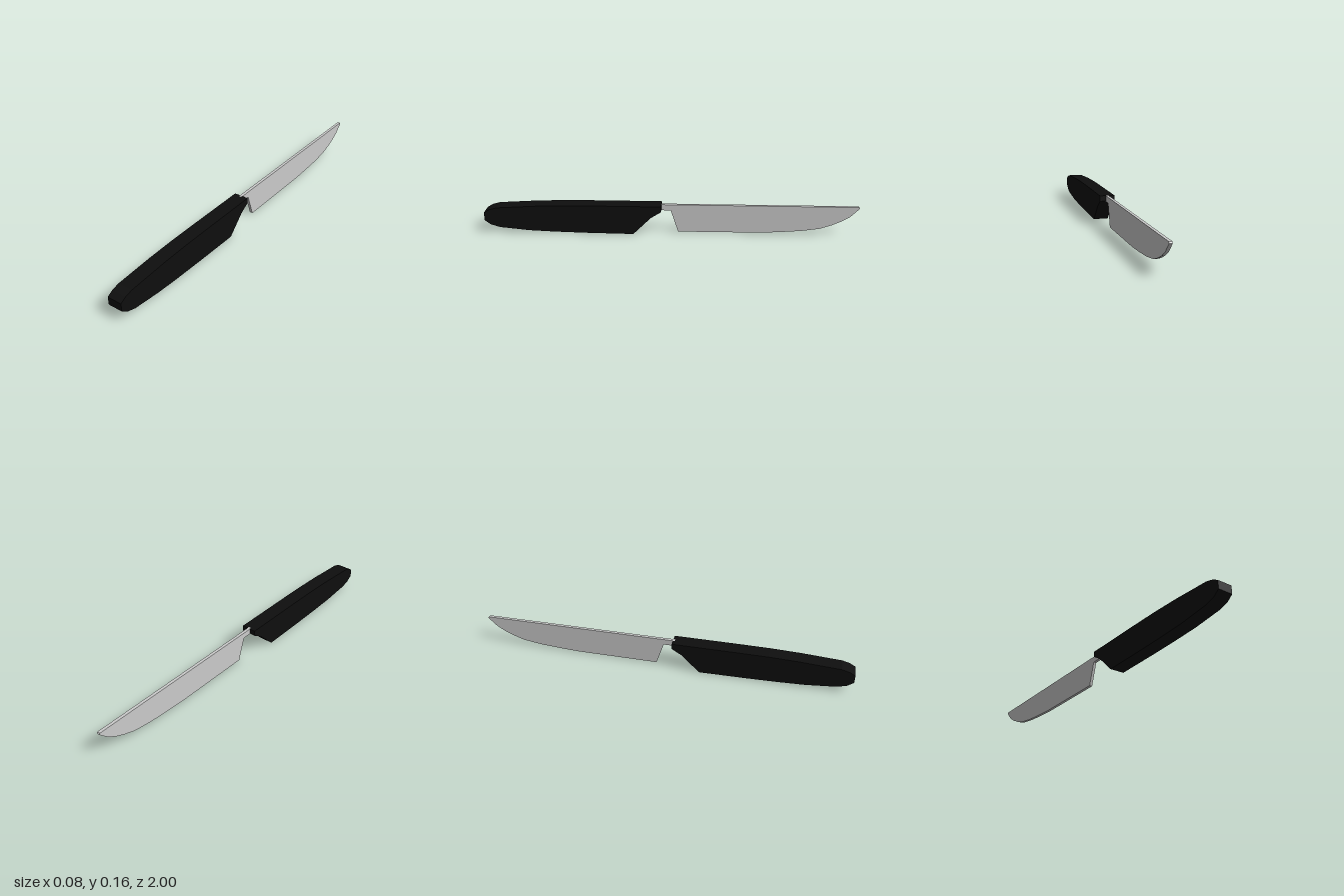
import * as THREE from 'three';

const handleMat = new THREE.MeshStandardMaterial({ name: 'black handle', color: 0x0e0e0e });
const bladeMat = new THREE.MeshStandardMaterial({ name: 'steel', color: 0xcacaca });

// Side profile given as [z, y] corners, extruded across x and centred on x = 0
function slab(name, profile, width, material) {
  const shape = new THREE.Shape(profile.map(([z, y]) => new THREE.Vector2(z, y)));
  const geometry = new THREE.ExtrudeGeometry(shape, { depth: width, bevelEnabled: false });
  geometry.translate(0, 0, -width / 2);
  geometry.rotateY(-Math.PI / 2);
  const mesh = new THREE.Mesh(geometry, material);
  mesh.name = name;
  return mesh;
}

export function createModel() {
  const group = new THREE.Group();
  group.name = 'knife';

  // Handle: slanted front, flat belly, blunt rounded butt
  group.add(slab('handle', [
    [0.05, 0.13], [0.105, 0.095], [0.2, 0], [0.45, 0.003], [0.62, 0.007], [0.76, 0.013],
    [0.92, 0.029], [0.97, 0.045], [1, 0.068],
    [1, 0.112], [0.97, 0.13], [0.93, 0.141], [0.72, 0.154], [0.56, 0.159], [0.4, 0.16], [0.05, 0.16],
  ], 0.08, handleMat));

  // Blade with its short neck: straight spine, curved edge, slanted heel
  group.add(slab('blade', [
    [0.06, 0.128], [0, 0.128], [-0.04, 0.004], [-0.475, 0.005], [-0.58, 0.01], [-0.7, 0.019],
    [-0.8, 0.034], [-0.86, 0.055], [-0.91, 0.078], [-0.953, 0.105],
    [-1, 0.153], [-0.995, 0.16], [0.06, 0.16],
  ].reverse(), 0.016, bladeMat));

  return group;
}
